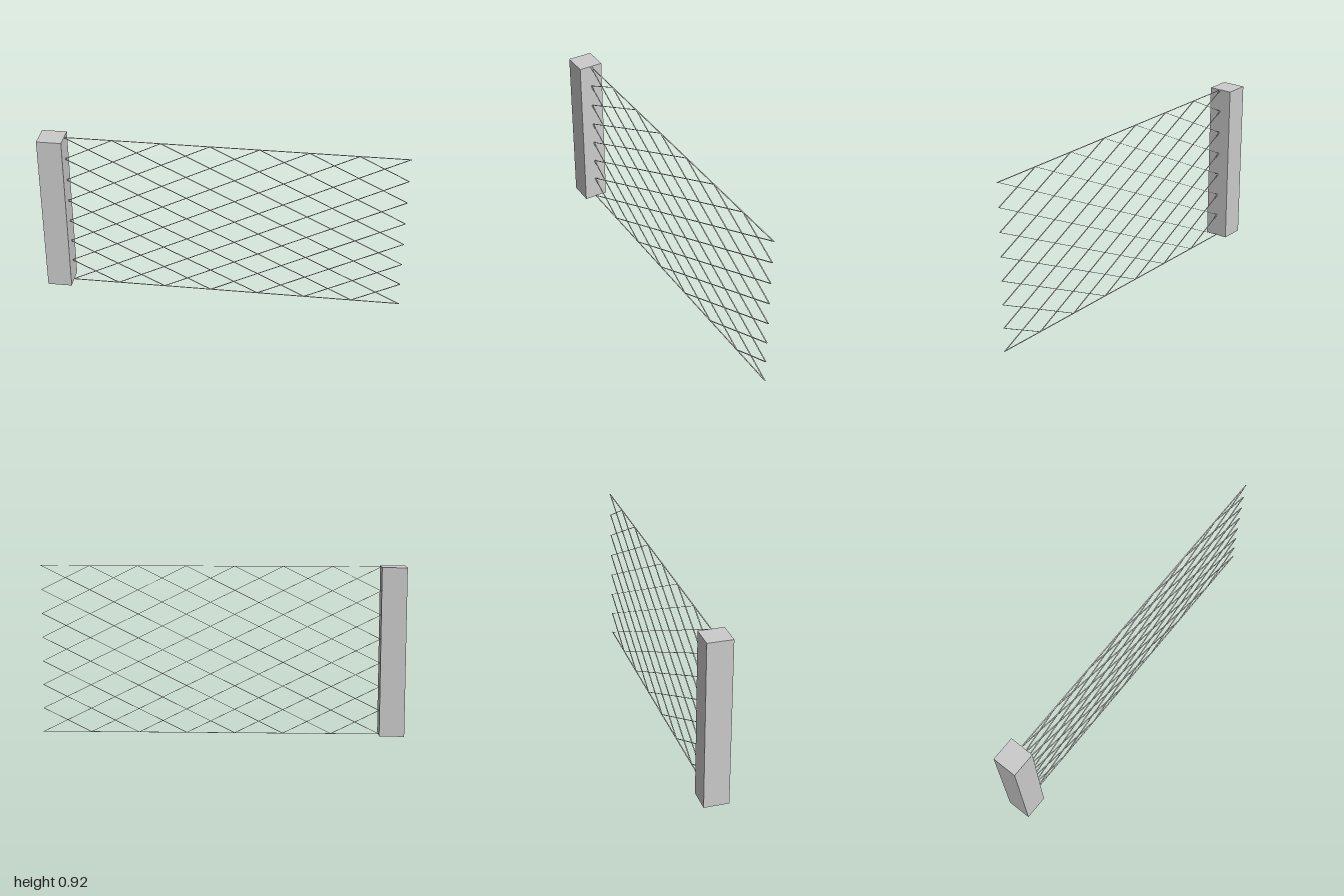
import * as THREE from 'three';

const X0 = -0.867, X1 = 0.985, Y0 = 0.004, Y1 = 0.927; // panel limits
const CELLS = 7;
const WIRE_HEIGHT = 0.002, WIRE_DEPTH = 0.006;

export function createModel() {
  const fence = new THREE.Group();
  fence.name = 'wireFence';
  const material = new THREE.MeshStandardMaterial({ color: 0xcccccc, flatShading: true });

  // Square post at the right-hand end
  const post = new THREE.Mesh(new THREE.BoxGeometry(0.136, 0.923, 0.136), material);
  post.name = 'post';
  post.position.set(-0.932, 0.4655, 0);
  fence.add(post);

  // Straight flat wire between two points of the panel plane
  const addWire = (parent, name, ax, ay, bx, by) => {
    const length = Math.hypot(bx - ax, by - ay);
    const wire = new THREE.Mesh(new THREE.BoxGeometry(length, WIRE_HEIGHT, WIRE_DEPTH), material);
    wire.name = name;
    wire.position.set((ax + bx) / 2, (ay + by) / 2, 0);
    wire.rotation.z = Math.atan2(by - ay, bx - ax);
    parent.add(wire);
  };

  // Top and bottom wires, slightly longer than the mesh
  addWire(fence, 'topWire', X0 - 0.004, Y1, X1 + 0.004, Y1);
  addWire(fence, 'bottomWire', X0 - 0.004, Y0, X1 + 0.004, Y0);

  // Diamond mesh: diagonals in both directions, clipped to the panel
  const mesh = new THREE.Group();
  mesh.name = 'diamondMesh';
  fence.add(mesh);
  const px = (i) => X0 + (X1 - X0) * i / CELLS;
  const py = (j) => Y0 + (Y1 - Y0) * j / CELLS;
  for (let k = 1 - CELLS; k < CELLS; k++) {
    const start = Math.max(0, k), end = Math.min(CELLS, CELLS + k);
    addWire(mesh, 'risingWire', px(start), py(start - k), px(end), py(end - k));
    addWire(mesh, 'fallingWire', px(start), py(CELLS - start + k), px(end), py(CELLS - end + k));
  }
  return fence;
}
